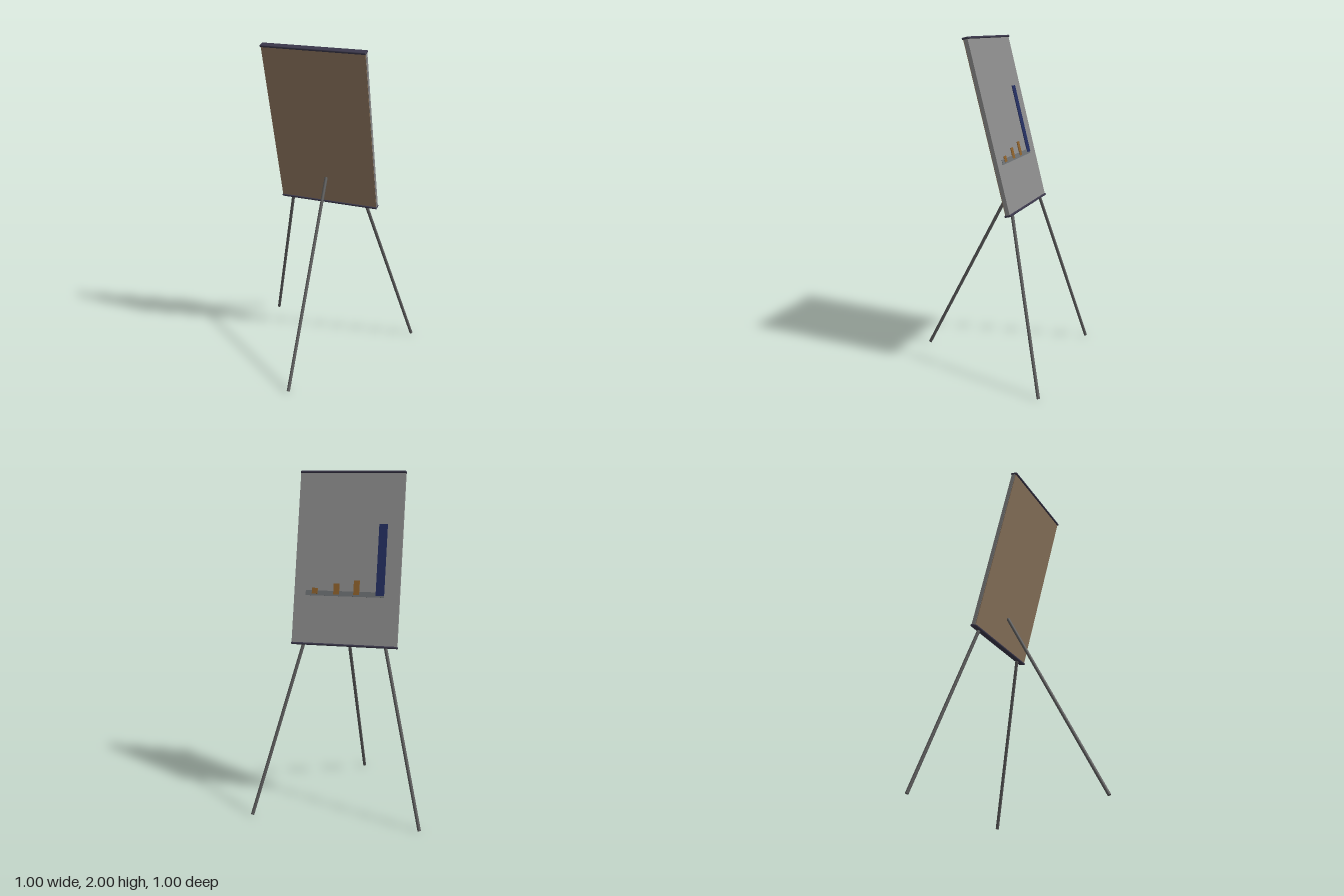
import * as THREE from 'three';
import { RoundedBoxGeometry } from 'three/addons/geometries/RoundedBoxGeometry.js';

const mat = (name, color) => {
  const m = new THREE.MeshStandardMaterial({ color });
  m.name = name;
  return m;
};

export function createModel() {
  const model = new THREE.Group();
  model.name = 'presentationEasel';

  const boardGrey = mat('board grey', 0x8a8a8a);
  const backingBrown = mat('backing brown', 0x8e775f);
  const railDark = mat('dark rail', 0x3a374a);
  const legGrey = mat('leg grey', 0x5c5c5c);
  const lineGrey = mat('baseline grey', 0x6c7072);
  const barOrange = mat('orange bar', 0x8a5e2a);
  const barBlue = mat('blue bar', 0x222d5e);

  const add = (parent, name, geometry, material, x = 0, y = 0, z = 0) => {
    const mesh = new THREE.Mesh(geometry, material);
    mesh.name = name;
    mesh.position.set(x, y, z);
    parent.add(mesh);
    return mesh;
  };

  // Board assembly: turned a little and leaning forward at the top
  const board = new THREE.Group();
  board.name = 'board';
  board.rotation.order = 'YXZ';
  board.rotation.set(0.252, -0.127, 0);
  board.position.set(-0.05, 1.494, -0.047);
  model.add(board);

  const W = 0.63, H = 1.035, T = 0.028;
  add(board, 'writingPanel', new THREE.BoxGeometry(W, H - 0.02, T - 0.004), boardGrey, 0, 0, -0.002);
  add(board, 'backingPanel', new THREE.BoxGeometry(W - 0.004, H - 0.02, 0.004), backingBrown, 0, 0, T / 2 - 0.002);

  // Rails capping the top and bottom edges
  for (const [name, s] of [['topRail', 1], ['bottomRail', -1]]) {
    add(board, name, new RoundedBoxGeometry(W + 0.004, 0.013, 0.042, 3, 0.005), railDark, 0, s * (H / 2 - 0.0065), 0);
  }

  // Chart on the writing side: baseline and rising bars
  const base = -0.205;
  add(board, 'chartBaseline', new THREE.BoxGeometry(0.47, 0.03, 0.003), lineGrey, 0.01, base - 0.005, -T / 2 - 0.0005);
  const bars = [
    [0.19, 0.035, 0.035, barOrange],
    [0.06, 0.065, 0.035, barOrange],
    [-0.06, 0.085, 0.035, barOrange],
    [-0.2, 0.42, 0.05, barBlue],
  ];
  bars.forEach(([x, h, w, m], i) => {
    add(board, `chartBar${i + 1}`, new THREE.BoxGeometry(w, h, 0.006), m, x, base - 0.01 + h / 2, -T / 2 - 0.001);
  });

  // Three splayed legs, from foot to top
  const legs = [
    ['frontLeg', [-0.118, 0.005, 0.49], [-0.04, 1.17, -0.115]],
    ['backRightLeg', [-0.493, 0.003, -0.493], [-0.278, 1.0, -0.205]],
    ['backLeftLeg', [0.492, 0.003, -0.368], [0.208, 1.0, -0.143]],
  ];
  for (const [name, a, b] of legs) {
    const foot = new THREE.Vector3(...a), top = new THREE.Vector3(...b);
    const dir = top.clone().sub(foot);
    const leg = add(model, name, new THREE.CylinderGeometry(0.01, 0.01, dir.length(), 12), legGrey);
    leg.position.copy(foot).add(top).multiplyScalar(0.5);
    leg.quaternion.setFromUnitVectors(new THREE.Vector3(0, 1, 0), dir.normalize());
  }

  return model;
}
